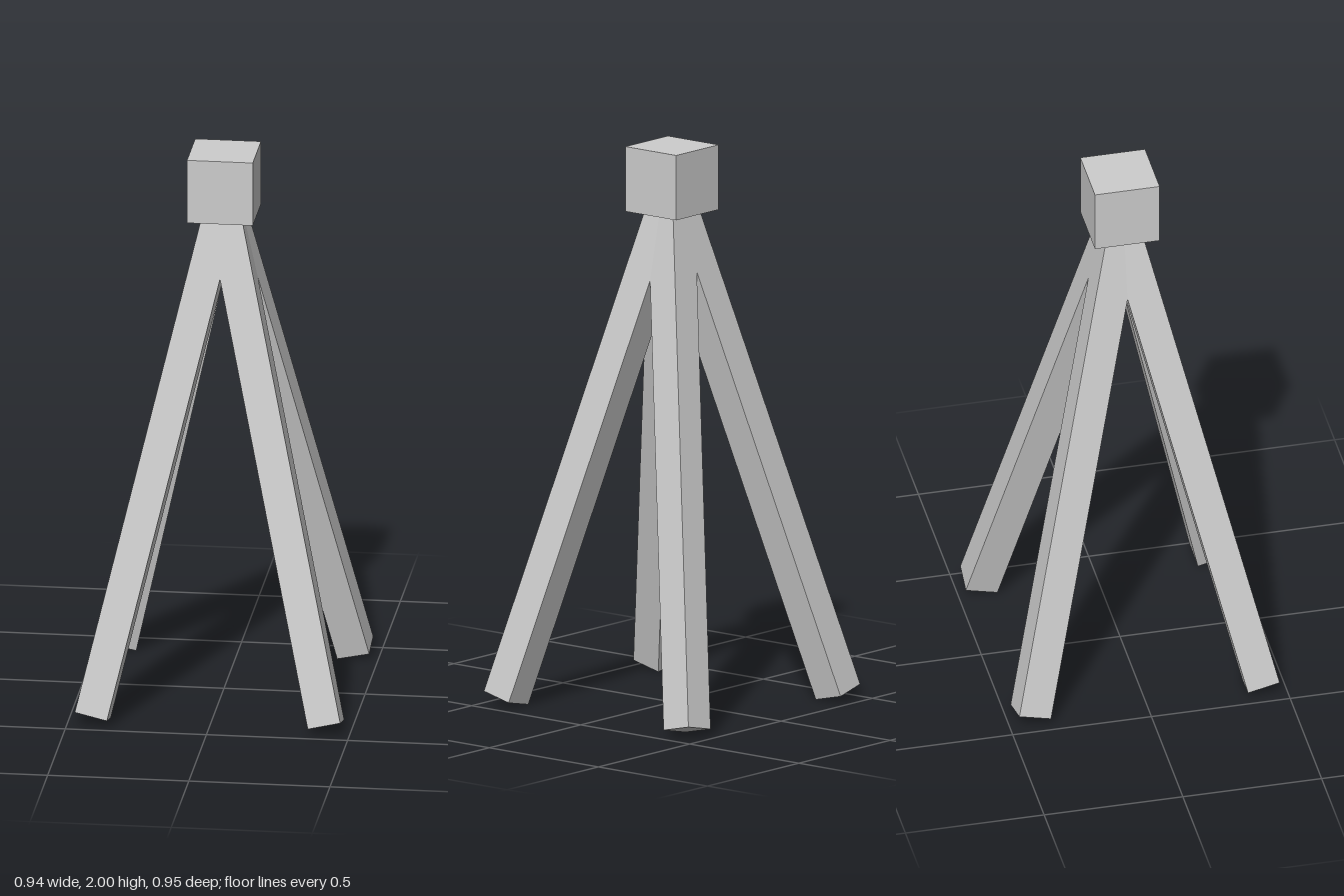
import * as THREE from 'three';

export function createModel() {
  const model = new THREE.Group();
  model.name = 'fourLeggedStand';
  const grey = new THREE.MeshStandardMaterial({ color: 0xcccccc });
  grey.name = 'grey';

  // Cube head on top
  const head = new THREE.Mesh(new THREE.BoxGeometry(0.233, 0.233, 0.233), grey);
  head.name = 'head';
  head.position.y = 2 - 0.233 / 2;
  model.add(head);

  // Four splayed square legs, each pivoting on the centre of its foot
  const length = 1.87;
  const legGeometry = new THREE.BoxGeometry(0.117, length, 0.117);
  legGeometry.translate(0, length / 2, 0);
  for (const [sx, xName] of [[1, 'Left'], [-1, 'Right']]) {
    for (const [sz, zName] of [[1, 'front'], [-1, 'back']]) {
      const leg = new THREE.Mesh(legGeometry, grey);
      leg.name = `${zName}${xName}Leg`;
      leg.position.set(sx * 0.413, 0.026, sz * 0.415);
      leg.rotation.set(-sz * 0.231, 0, sx * 0.222);
      model.add(leg);
    }
  }
  return model;
}
